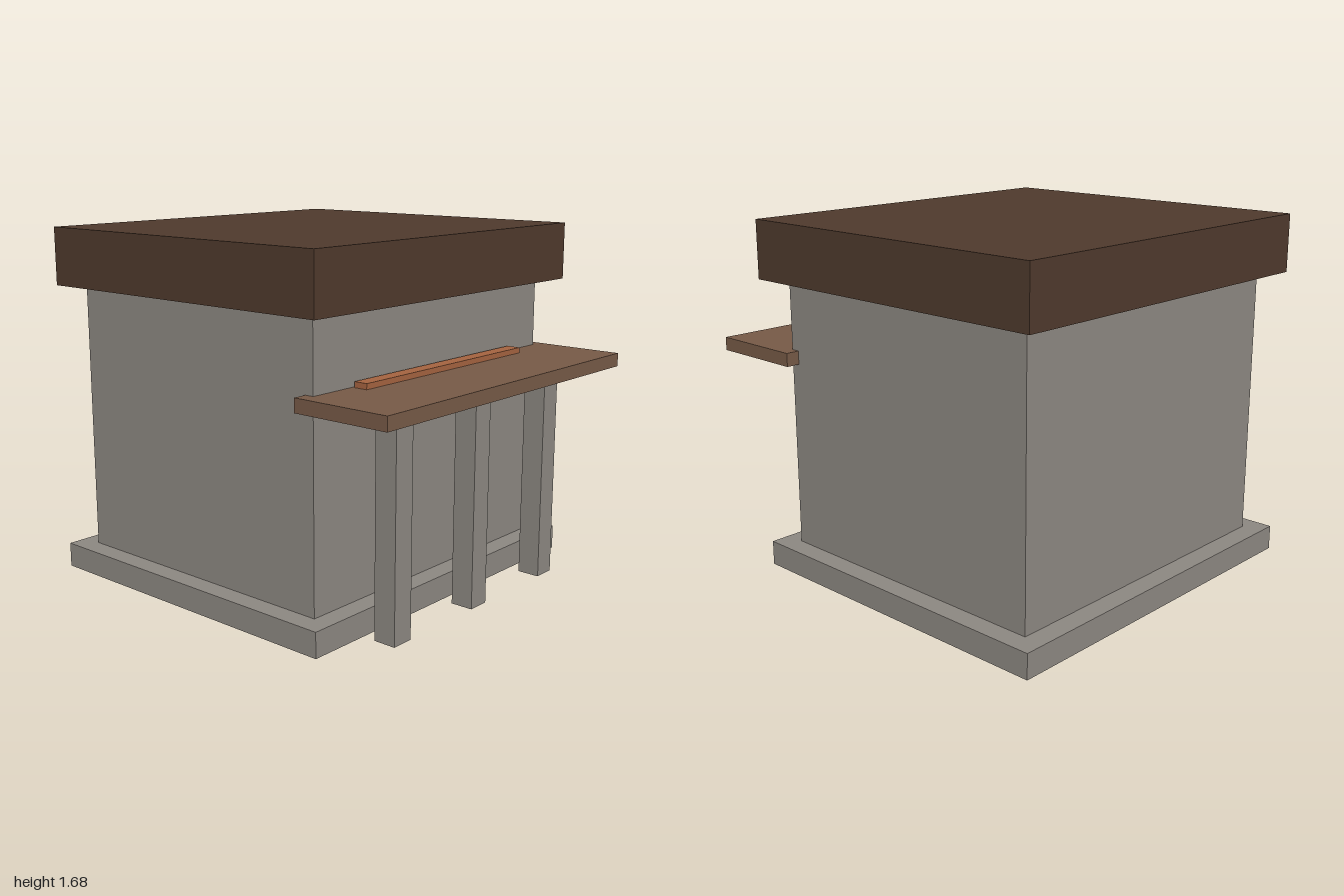
import * as THREE from 'three';

const mat = (name, color) => {
  const m = new THREE.MeshStandardMaterial({ color });
  m.name = name;
  return m;
};

export function createModel() {
  const stone = mat('grey stone', 0x8b8680);
  const darkWood = mat('dark brown', 0x4e392c);
  const wood = mat('brown wood', 0x755946);
  const rust = mat('rust orange', 0xa3623f);

  const model = new THREE.Group();
  model.name = 'booth';

  // Box given by its extents along each axis
  const box = (name, material, [x0, x1], [y0, y1], [z0, z1]) => {
    const mesh = new THREE.Mesh(new THREE.BoxGeometry(x1 - x0, y1 - y0, z1 - z0), material);
    mesh.position.set((x0 + x1) / 2, (y0 + y1) / 2, (z0 + z1) / 2);
    mesh.name = name;
    model.add(mesh);
  };

  // Main building: plinth, walls and flat roof
  box('plinth', stone, [-0.91, 0.91], [0, 0.118], [-1, 0.658]);
  box('walls', stone, [-0.812, 0.812], [0.118, 1.405], [-0.9, 0.56]);
  box('roof', darkWood, [-0.91, 0.91], [1.405, 1.68], [-1, 0.658]);

  // Front counter with a raised strip running through it
  box('counter', wood, [-0.878, 0.878], [1.01, 1.074], [0.517, 1]);
  box('counterStrip', rust, [-0.57, 0.57], [0.94, 1.1], [0.57, 0.638]);

  // Three square posts under the counter
  for (const x of [-0.555, 0, 0.555]) {
    box('counterPost', stone, [x - 0.055, x + 0.055], [0, 1.01], [0.72, 0.83]);
  }

  return model;
}
